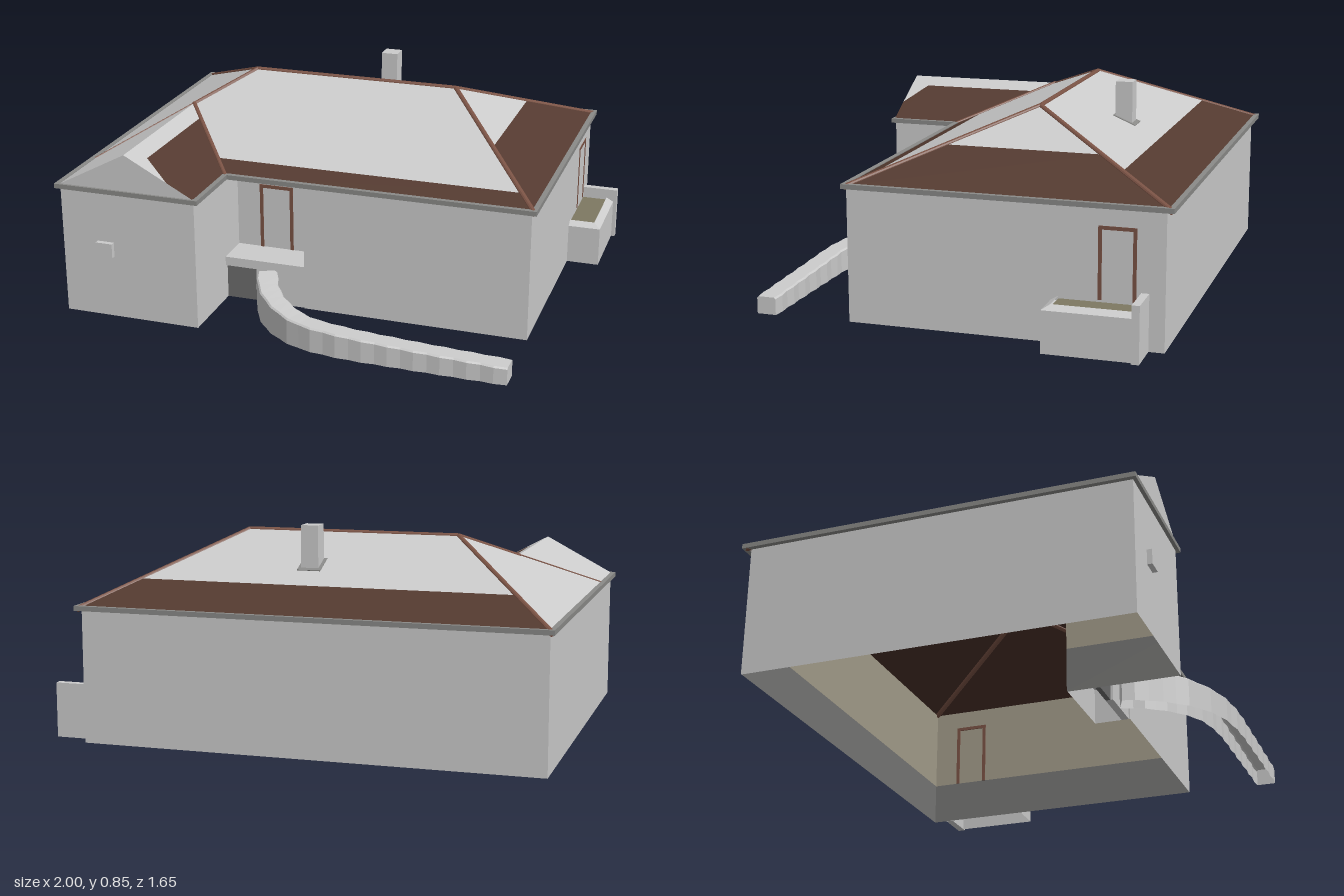
import * as THREE from 'three';

const material = (color, side = THREE.FrontSide) =>
  new THREE.MeshStandardMaterial({ color, side, flatShading: true });
const GREY = material(0xcccccc);
const BROWN = material(0x543a30);
const TRIM = material(0x7a5244);
const GUTTER = material(0x8a8a88);
const DARK = material(0x6c6c6c);
const FLOOR = material(0x7d7862);
const GLASS = material(0xa8a8a8);
const FRAME = material(0x3e3a36);
const UNDERSIDE = material(0x4a3028);
const PLASTER = material(0xa39c8a);
const PLINTH = material(0x767674);
const OPEN_GREY = material(0xcccccc, THREE.DoubleSide);

const v = (x, y, z) => new THREE.Vector3(x, y, z);
const mix = (a, b, t) => a.clone().lerp(b, t);
// Turn faces round, keeping the corner each fan starts from
const flipped = (list) => list.map(([first, ...rest]) => [first, ...rest.reverse()]);

// Flat polygons, corners counter-clockwise from outside, fanned from the first corner
function polygons(list) {
  const pts = [];
  for (const p of list)
    for (let i = 1; i < p.length - 1; i++) pts.push(p[0], p[i], p[i + 1]);
  const g = new THREE.BufferGeometry().setFromPoints(pts);
  g.computeVertexNormals();
  return g;
}

function add(parent, name, geometry, mat) {
  const mesh = new THREE.Mesh(geometry, mat);
  mesh.name = name;
  parent.add(mesh);
  return mesh;
}

// Box given by its low and high limits on each axis
function box(parent, name, [x0, x1], [y0, y1], [z0, z1], mat = GREY) {
  const mesh = add(parent, name, new THREE.BoxGeometry(x1 - x0, y1 - y0, z1 - z0), mat);
  mesh.position.set((x0 + x1) / 2, (y0 + y1) / 2, (z0 + z1) / 2);
  return mesh;
}

// Round strip between two points, sunk into the roof by a drop
function rod(parent, name, a, b, r, drop) {
  const mesh = add(parent, name, new THREE.CylinderGeometry(r, r, a.distanceTo(b), 12), TRIM);
  mesh.position.copy(mix(a, b, 0.5));
  mesh.position.y -= drop;
  mesh.quaternion.setFromUnitVectors(v(0, 1, 0), b.clone().sub(a).normalize());
}

// Upright band of wall around a footprint, as a list of faces
const band = (plan, y0, y1) => plan.map(([x, z], i) => {
  const [x2, z2] = plan[(i + 1) % plan.length];
  return [v(x, y0, z), v(x, y1, z), v(x2, y1, z2), v(x2, y0, z2)];
});

// Opening built facing +z at the origin, then turned and placed
function opening(parent, name, w, h, pos, turn, panel, frame, t = 0.014) {
  const g = new THREE.Group();
  g.name = name;
  for (const s of [-1, 1])
    box(g, 'jamb', [s * w / 2 - t / 2, s * w / 2 + t / 2], [-h / 2, h / 2], [-0.005, 0.005], frame);
  box(g, 'lintel', [-w / 2 - t / 2, w / 2 + t / 2], [h / 2 - t, h / 2], [-0.005, 0.005], frame);
  if (panel) {
    box(g, 'sill', [-w / 2, w / 2], [-h / 2, -h / 2 + t], [-0.005, 0.005], frame);
    box(g, 'panel', [-w / 2, w / 2], [-h / 2, h / 2], [-0.003, 0.003], panel);
  }
  g.position.set(...pos);
  g.rotation.y = turn;
  parent.add(g);
}

// House footprint, drawn inward by d
const footprint = (d) => [
  [-0.98 + d, -0.8 + d], [0.85 - d, -0.8 + d], [0.85 - d, 0.435 - d], [-0.07 + d, 0.435 - d],
  [-0.07 + d, 0.29 - d], [-0.41 - d, 0.29 - d], [-0.41 - d, 0.735 - d], [-0.98 + d, 0.735 - d]];

function buildWalls(house) {
  add(house, 'outerWalls', polygons(band(footprint(0), 0, 0.54)), GREY);
  add(house, 'innerWalls', polygons(flipped(band(footprint(0.003), 0.18, 0.54))), PLASTER);
  add(house, 'innerPlinth', polygons(flipped(band(footprint(0.003), 0, 0.18))), PLINTH);
  // Door frames outside, door panel and windows on the inner faces
  opening(house, 'frontDoorFrame', 0.13, 0.28, [-0.24, 0.32, 0.288], 0, null, TRIM);
  opening(house, 'sideDoorFrame', 0.13, 0.28, [0.847, 0.32, -0.62], Math.PI / 2, null, TRIM);
  opening(house, 'frontDoorPanel', 0.12, 0.27, [-0.24, 0.32, 0.282], 0, TRIM, TRIM);
  opening(house, 'wideWindow', 0.27, 0.22, [0.2, 0.36, 0.427], 0, GLASS, FRAME);
  for (const x of [0.15, 0.25])
    box(house, 'mullion', [x - 0.005, x + 0.005], [0.25, 0.47], [0.421, 0.433], FRAME);
  opening(house, 'wingWindow', 0.12, 0.17, [-0.72, 0.37, 0.727], 0, GLASS, FRAME);
  opening(house, 'wingCellarWindow', 0.13, 0.09, [-0.73, 0.12, 0.727], 0, FRAME, FRAME);
  for (const z of [-0.02, 0.47])
    opening(house, 'sideWindow', 0.1, 0.17, [-0.972, 0.375, z], Math.PI / 2, GLASS, FRAME);
  for (const z of [-0.38, 0.38])
    opening(house, 'cellarWindow', 0.13, 0.09, [-0.972, 0.12, z], Math.PI / 2, FRAME, FRAME);
  box(house, 'meterBox', [-0.83, -0.76], [0.26, 0.32], [0.73, 0.755]);
}

function buildRoof(house) {
  const roof = new THREE.Group();
  roof.name = 'roof';
  house.add(roof);
  const y = 0.54;
  const backLeft = v(-0.99, y, -0.82), backRight = v(0.86, y, -0.82), frontRight = v(0.86, y, 0.44);
  const valley = v(-0.4, y, 0.44), wingRight = v(-0.4, y, 0.74), wingLeft = v(-0.99, y, 0.74);
  const L = v(-0.5, 0.8, -0.19), R = v(0.38, 0.8, -0.19);
  const J = v(-0.695, 0.697, 0.06), G = v(-0.695, 0.697, 0.74);

  const brown = [], grey = [];
  // Slope split into a brown lower strip and a grey upper part
  const slope = (e0, e1, r1, r0, t0, t1, ...rest) => {
    const a = mix(e0, r0, t0), b = mix(e1, r1, t1);
    brown.push([e0, e1, b, a]);
    grey.push([a, b, r1, ...rest, r0]);
  };
  slope(backRight, backLeft, L, R, 0.35, 0.35);
  slope(frontRight, backRight, R, R, 0.5, 0.5);
  slope(valley, frontRight, R, J, 0.237, 0.143, L);
  grey.push([backLeft, wingLeft, G, J, L]);
  // Wing slope, its strip cut off at the gable
  const top = mix(valley, J, 0.79), edge = mix(wingRight, G, 0.4), cut = mix(wingRight, G, 0.79);
  cut.z = 0.66;
  brown.push([wingRight, valley, top, cut, edge]);
  grey.push([G, edge, cut, top, J]);
  add(roof, 'brownTiles', polygons(brown), BROWN);
  add(roof, 'greyTiles', polygons(grey), GREY);
  add(roof, 'roofUnderside', polygons(flipped([...brown, ...grey])).translate(0, -0.004, 0), UNDERSIDE);
  const gable = [[wingLeft, wingRight, G]];
  add(roof, 'gable', polygons(gable), GREY);
  add(roof, 'gableInside', polygons(flipped(gable)).translate(0, 0, -0.003), PLASTER);

  // Ridge and hips sunk into the roof, valley and lower hip lying on it
  for (const [a, b] of [[L, R], [L, backLeft], [R, backRight], [R, frontRight], [L, J]])
    rod(roof, 'ridgeTile', a, b, 0.012, 0.007);
  rod(roof, 'valleyStrip', J, valley, 0.009, 0);
  rod(roof, 'lowerHip', J, v(-0.99, y, 0.44), 0.004, 0);

  // Gutter along every eave
  const eaves = [backLeft, backRight, frontRight, valley, wingRight, wingLeft];
  const h = 0.01;
  eaves.forEach((a, i) => {
    const b = eaves[(i + 1) % eaves.length];
    const span = (k) => [Math.min(a[k], b[k]) - h, Math.max(a[k], b[k]) + h];
    box(roof, 'gutter', span('x'), [0.528, 0.547], span('z'), GUTTER);
  });

  // Chimney with a collar at the roof
  box(roof, 'chimney', [-0.01, 0.06], [0.6, 0.85], [-0.48, -0.41]);
  const collar = box(roof, 'chimneyCollar', [-0.025, 0.07], [-0.006, 0.006], [-0.05, 0.05], GUTTER);
  collar.position.set(0.025, 0.69, -0.448);
  collar.rotation.x = -0.39;
}

function buildPorches(house) {
  // Side porch, hollow below, with a sloping rim and a back parapet
  const x0 = 0.85, x1 = 0.985, xi = 0.955, z0 = -0.71, z1 = -0.37, zi = -0.4;
  const low = 0.165, high = 0.182, deck = 0.172;
  add(house, 'porchWalls', polygons([
    [v(x0, 0, z1), v(x1, 0, z1), v(x1, low, z1), v(x0, low, z1)],
    [v(x1, 0, z1), v(x1, 0, z0), v(x1, low, z0), v(x1, low, z1)],
  ]), OPEN_GREY);
  add(house, 'porchRim', polygons([
    [v(x0, low, z1), v(x1, low, z1), v(xi, high, zi), v(x0, high, zi)],
    [v(x1, low, z1), v(x1, low, z0), v(xi, high, z0), v(xi, high, zi)],
  ]), OPEN_GREY);
  box(house, 'porchFloor', [x0, xi], [deck - 0.004, deck], [z0, zi], FLOOR);
  box(house, 'porchSlab', [x0, x1 - 0.002], [low - 0.01, low], [z0, z1 - 0.002]);
  box(house, 'porchParapet', [0.85, 1], [0, 0.22], [-0.74, -0.71]);
  // Landing in the entrance recess, dark opening beside the garden wall
  box(house, 'landing', [-0.41, -0.07], [0.145, 0.165], [0.29, 0.435]);
  box(house, 'landingSlab', [-0.41, -0.07], [0.165, 0.185], [0.29, 0.44]);
  box(house, 'landingOpening', [-0.41, -0.28], [0, 0.145], [0.4, 0.42], DARK);
  box(house, 'landingApron', [-0.28, -0.07], [0, 0.145], [0.4, 0.43]);
}

// Low garden wall of bulging blocks along a curve, falling in height, open below
function buildGardenWall(house) {
  const curve = new THREE.CatmullRomCurve3([
    v(-0.225, 0.15, 0.445), v(-0.18, 0.135, 0.55), v(-0.1, 0.12, 0.65), v(0.02, 0.105, 0.73),
    v(0.18, 0.098, 0.765), v(0.45, 0.085, 0.775), v(0.86, 0.07, 0.78)]);
  const n = 24;
  const rings = [];
  for (let i = 0; i <= n; i++) {
    const p = curve.getPointAt(i / n), t = curve.getTangentAt(i / n).setY(0).normalize();
    const w = i % 2 ? 0.044 : 0.039;
    const shape = [[-w, 0], [-w, p.y - 0.006], [-w + 0.006, p.y], [w - 0.006, p.y], [w, p.y - 0.006], [w, 0]];
    rings.push(shape.map(([s, y]) => v(p.x - t.z * s, y, p.z + t.x * s)));
  }
  const faces = [...flipped([rings[0]]), rings[n]];
  for (let i = 0; i < n; i++)
    for (let j = 0; j < 5; j++)
      faces.push([rings[i][j], rings[i][j + 1], rings[i + 1][j + 1], rings[i + 1][j]]);
  add(house, 'gardenWall', polygons(faces), OPEN_GREY);
}

export function createModel() {
  const house = new THREE.Group();
  house.name = 'house';
  buildWalls(house);
  buildRoof(house);
  buildPorches(house);
  buildGardenWall(house);
  return house;
}
